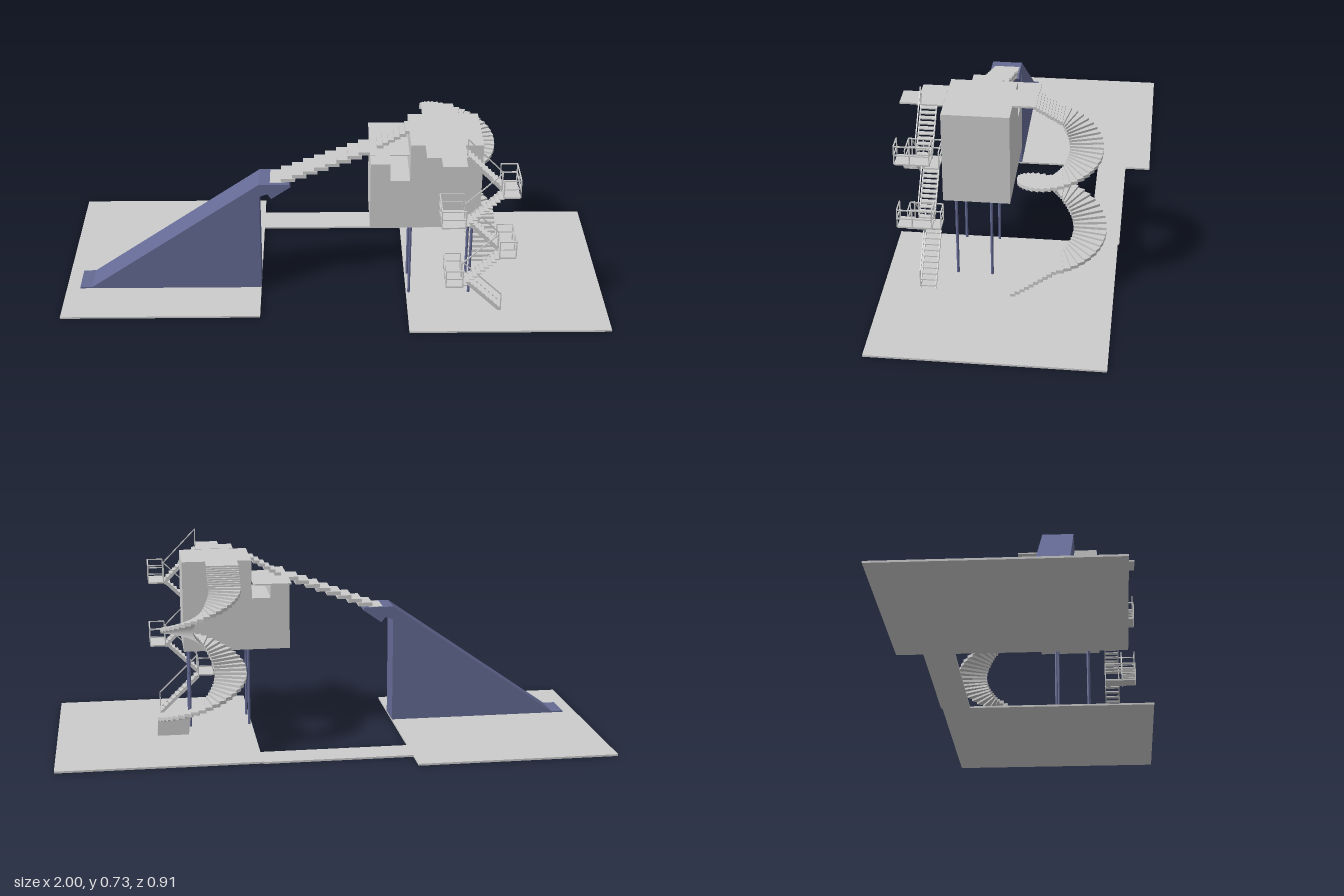
import * as THREE from 'three';

const grey = new THREE.MeshStandardMaterial({ color: 0xcccccc, flatShading: true });
const blue = new THREE.MeshStandardMaterial({ color: 0x646a94, flatShading: true });

function add(parent, name, geo, mat = grey) {
  const m = new THREE.Mesh(geo, mat);
  m.name = name;
  parent.add(m);
  return m;
}

function group(parent, name) {
  const g = new THREE.Group();
  g.name = name;
  parent.add(g);
  return g;
}

// Box given by its limits on each axis
function block(parent, name, x0, x1, y0, y1, z0, z1, mat = grey) {
  const m = add(parent, name, new THREE.BoxGeometry(x1 - x0, y1 - y0, z1 - z0), mat);
  m.position.set((x0 + x1) / 2, (y0 + y1) / 2, (z0 + z1) / 2);
  return m;
}

// Square bar between two points
function bar(parent, name, a, b, t = 0.004, h = t) {
  const p = new THREE.Vector3(...a), q = new THREE.Vector3(...b);
  const m = add(parent, name, new THREE.BoxGeometry(t, h, p.distanceTo(q)));
  m.position.copy(p).add(q).multiplyScalar(0.5);
  m.lookAt(q);
  return m;
}

function polygon(points) {
  return new THREE.Shape(points.map(([x, y]) => new THREE.Vector2(x, y)));
}

function buildBase(root) {
  const g = group(root, 'base');
  block(g, 'slidePlate', -1, -0.27, 0.005, 0.012, -0.455, 0.35);
  block(g, 'towerPlate', 0.27, 1, 0.005, 0.012, -0.355, 0.45);
  block(g, 'connectingPath', -0.27, 0.27, 0.005, 0.012, -0.36, -0.25);
}

function buildSlide(root) {
  const shape = polygon([
    [-0.95, 0.008], [-0.27, 0.008], [-0.27, 0.41], [-0.24, 0.42], [-0.225, 0.4],
    [-0.155, 0.45], [-0.16, 0.46], [-0.27, 0.46], [-0.905, 0.017], [-0.95, 0.017],
  ]);
  const m = add(root, 'slide', new THREE.ExtrudeGeometry(shape, { depth: 0.112, bevelEnabled: false }), blue);
  m.position.z = 0.055;
}

function buildTower(root) {
  const g = group(root, 'tower');
  block(g, 'mainRoom', 0.27, 0.525, 0.325, 0.663, 0.012, 0.245);
  // Side room with a covered passage beside the main room
  block(g, 'sideRoom', 0.13, 0.27, 0.325, 0.52, 0.012, 0.245);
  block(g, 'sideRoomUpper', 0.13, 0.2, 0.52, 0.588, 0.012, 0.245);
  block(g, 'sideRoof', 0.13, 0.27, 0.584, 0.589, -0.06, 0.18);
  // Roof walkways
  block(g, 'frontWalkway', 0.32, 0.46, 0.658, 0.664, 0.245, 0.335);
  block(g, 'frontWalkwayEnd', 0.37, 0.455, 0.658, 0.664, 0.335, 0.395);
  block(g, 'backWalkway', 0.323, 0.44, 0.656, 0.663, -0.06, 0.012);
  for (const x of [0.28, 0.503]) for (const z of [0.08, 0.202]) {
    const leg = add(g, 'leg', new THREE.CylinderGeometry(0.005, 0.005, 0.32, 10), blue);
    leg.position.set(x, 0.168, z);
  }
}

function buildSlideStairs(root) {
  const g = group(root, 'slideStairs');
  for (let i = 0; i < 9; i++) {
    const x = -0.23 + i * 0.04, y = 0.462 + i * 0.0155;
    block(g, 'slideStep', x, x + 0.052, y - 0.014, y, 0.06, 0.155);
  }
  // Short flight from the side roof to the main roof
  for (let i = 0; i < 6; i++) {
    const x = 0.155 + i * 0.02, y = 0.603 + i * 0.012;
    block(g, 'roofStep', x, x + 0.024, y - 0.012, y, 0.065, 0.138);
  }
}

// Point on the spiral walkway: t is measured in quarter turns, s is the sideways offset
function spiralPoint(t, s) {
  const heights = [0.605, 0.525, 0.455, 0.39, 0.293, 0.2, 0.125];
  const c = THREE.MathUtils.clamp(t, 0, 6);
  const a = c * Math.PI / 2;
  const r = 0.082 + 0.026 * c / 6 + s;
  const p = new THREE.Vector3(0.465 - r * Math.cos(a), 0, -0.158 - r * Math.sin(a));
  const i = Math.min(5, Math.floor(c));
  p.y = THREE.MathUtils.lerp(heights[i], heights[i + 1], c - i);
  // Straight runs at the top and the bottom
  if (t < 0) {
    p.z -= t * 0.1;
    p.y -= t * 0.058;
  } else if (t > 6) {
    p.z += (t - 6) * 0.158;
    p.y -= (t - 6) * 0.115;
  }
  return p;
}

function buildSpiral(root) {
  const g = group(root, 'spiralStairs');
  const n = 80, half = 0.058;
  const at = (i) => -1 + 8 * i / n;
  for (let i = 0; i < n; i++) {
    const a = at(i), b = at(i + 1.12);
    const corners = [spiralPoint(a, -half), spiralPoint(a, half), spiralPoint(b, half), spiralPoint(b, -half)];
    const geo = new THREE.ExtrudeGeometry(polygon(corners.map((p) => [p.x, p.z])), { depth: 0.012, bevelEnabled: false });
    geo.rotateX(Math.PI / 2);
    const step = add(g, 'spiralStep', geo);
    step.position.y = Math.max(0.012, corners[0].y);
  }
}

// Straight flight with thin treads, stringers and one handrail
function flight(parent, x0, y0, x1, y1, z0, z1, stringers, railZ) {
  const g = group(parent, 'flight');
  const n = 10;
  for (let i = 0; i < n; i++) {
    const x = THREE.MathUtils.lerp(x0, x1, (i + 0.5) / n);
    const y = THREE.MathUtils.lerp(y0, y1, (i + 0.5) / n);
    block(g, 'tread', x - 0.009, x + 0.009, y - 0.002, y + 0.002, z0, z1);
  }
  for (const z of stringers) bar(g, 'stringer', [x0, y0 - 0.004, z], [x1, y1 - 0.004, z], 0.004, 0.012);
  bar(g, 'handrail', [x0, y0 + 0.066, railZ], [x1, y1 + 0.066, railZ]);
  for (const [x, y] of [[x0, y0], [x1, y1]]) bar(g, 'railPost', [x, y, railZ], [x, y + 0.068, railZ]);
}

// Landing with rails on three sides; xIn is the stair side, xOut the closed end
function landing(parent, xIn, xOut, y) {
  const g = group(parent, 'landing');
  const z0 = 0.267, z1 = 0.385;
  block(g, 'landingPlate', Math.min(xIn, xOut), Math.max(xIn, xOut), y - 0.004, y + 0.002, z0, z1);
  for (const h of [0.034, 0.067]) {
    bar(g, 'endRail', [xOut, y + h, z0], [xOut, y + h, z1]);
    for (const z of [z0, z1]) bar(g, 'sideRail', [xIn, y + h, z], [xOut, y + h, z]);
  }
  for (const x of [xIn, xOut]) for (const z of [z0, z1]) bar(g, 'railPost', [x, y, z], [x, y + 0.068, z]);
  bar(g, 'railPost', [xOut, y, 0.333], [xOut, y + 0.068, 0.333]);
}

function buildFrontStairs(root) {
  const g = group(root, 'frontStairs');
  const L = 0.46, R = 0.585;
  const inner = [0.267, 0.32, [0.267, 0.32], 0.32];
  const outer = [0.333, 0.385, [0.333], 0.333];
  flight(g, L, 0.662, R, 0.533, ...inner);
  flight(g, R, 0.533, L, 0.41, ...outer);
  flight(g, L, 0.41, R, 0.284, ...inner);
  flight(g, R, 0.284, L, 0.16, ...outer);
  flight(g, L, 0.16, 0.61, 0.014, ...inner);
  landing(g, R, 0.643, 0.533);
  landing(g, L, 0.376, 0.41);
  landing(g, R, 0.643, 0.284);
  landing(g, L, 0.4, 0.16);
}

export function createModel() {
  const root = new THREE.Group();
  root.name = 'slideTower';
  buildBase(root);
  buildSlide(root);
  buildTower(root);
  buildSlideStairs(root);
  buildSpiral(root);
  buildFrontStairs(root);
  return root;
}
